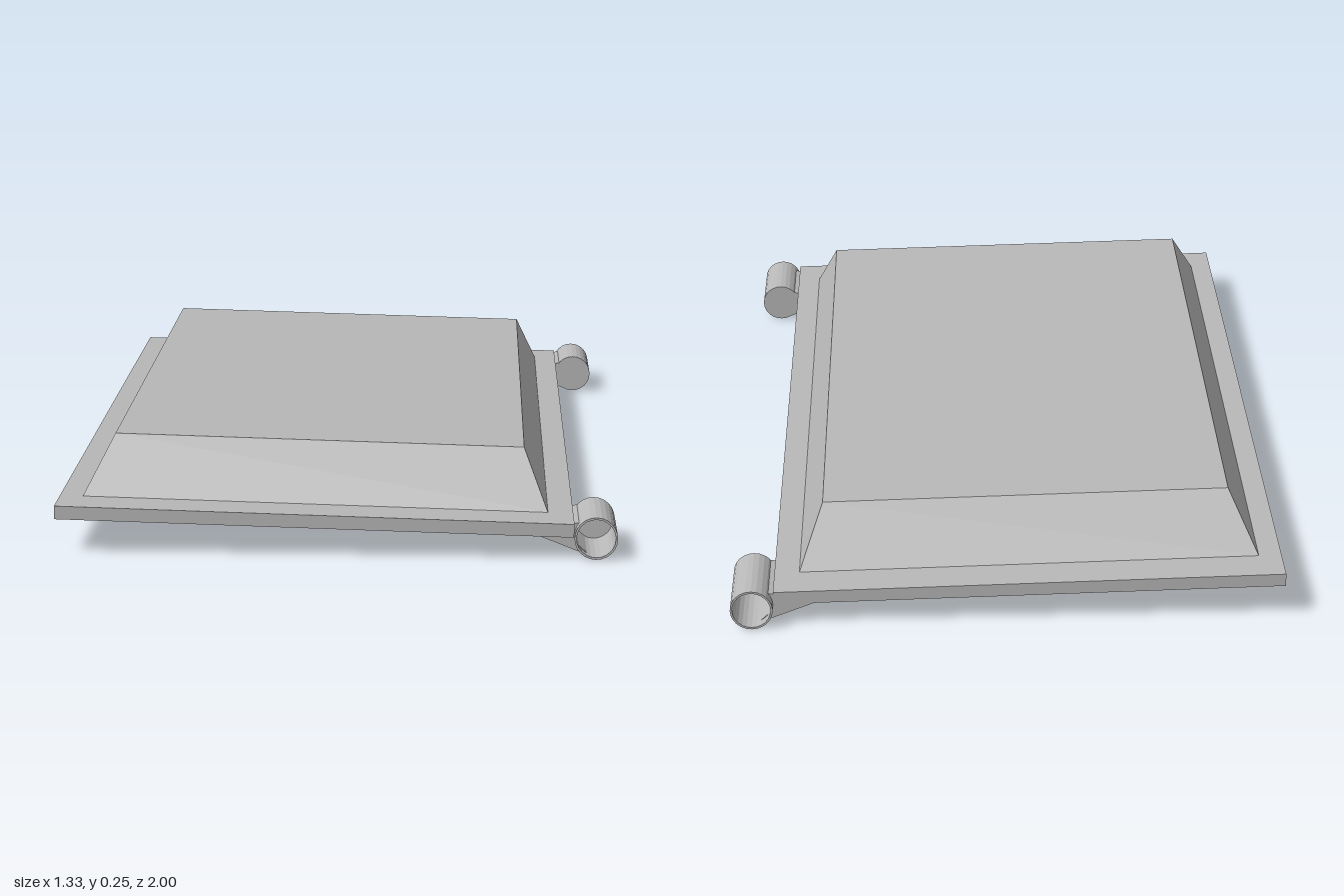
import * as THREE from 'three';

// Stack of rectangular rings [x0, x1, z0, z1, y], capped at both ends
function rectLoft(rings) {
  const corners = rings.map(([x0, x1, z0, z1, y]) => [[x0, y, z0], [x1, y, z0], [x1, y, z1], [x0, y, z1]]);
  const pos = [];
  const quad = (a, b, c, d) => pos.push(...a, ...b, ...c, ...a, ...c, ...d);
  quad(...corners[0]);
  for (let i = 0; i < corners.length - 1; i++) {
    for (let k = 0; k < 4; k++) {
      const n = (k + 1) % 4;
      quad(corners[i][k], corners[i + 1][k], corners[i + 1][n], corners[i][n]);
    }
  }
  quad(...[...corners[corners.length - 1]].reverse());
  const g = new THREE.BufferGeometry();
  g.setAttribute('position', new THREE.Float32BufferAttribute(pos, 3));
  g.computeVertexNormals();
  return g;
}

export function createModel() {
  const model = new THREE.Group();
  model.name = 'hatch';
  const metal = new THREE.MeshStandardMaterial({ color: 0xb8b8b8, flatShading: true, side: THREE.DoubleSide });
  metal.name = 'grey metal';

  const add = (parent, name, geometry, x = 0, y = 0, z = 0) => {
    const mesh = new THREE.Mesh(geometry, metal);
    mesh.name = name;
    mesh.position.set(x, y, z);
    parent.add(mesh);
    return mesh;
  };

  // Slightly tilted door panel
  const door = new THREE.Group();
  door.name = 'door';
  door.position.y = 0.072;
  door.rotation.z = -0.0245;
  model.add(door);

  // Plate with a groove underneath and a raised, sloping centre on top
  const inset = (d, y) => [-0.665 + d, 0.56 - d, -0.975 + d, 1 - d, y];
  add(door, 'panel', rectLoft([
    inset(0.08, 0), inset(0.08, 0.02), inset(0.055, 0.02), inset(0.055, 0),
    inset(0, 0), inset(0, 0.032), [-0.61, 0.5, -0.88, 0.9, 0.032],
    [-0.545, 0.44, -0.775, 0.8, 0.165],
  ]));

  // Round boss with a dished face on the underside
  const bossProfile = [[0, -0.026], [0.157, -0.026], [0.157, -0.02], [0.222, -0.02], [0.247, -0.04], [0.295, 0]]
    .map(([r, y]) => new THREE.Vector2(r, y));
  add(door, 'boss', new THREE.LatheGeometry(bossProfile, 32), -0.13, 0, 0.385);

  // Hinge sockets: open at the outer end, closed at the inner end
  for (const s of [1, -1]) {
    const hinge = new THREE.Group();
    hinge.name = s > 0 ? 'frontHinge' : 'backHinge';
    model.add(hinge);

    const barrelProfile = [[0, 0], [0.051, 0], [0.051, 0.19], [0.046, 0.19], [0.046, 0.02], [0, 0.02]]
      .map(([r, y]) => new THREE.Vector2(r, y));
    const barrel = add(hinge, 'barrel', new THREE.LatheGeometry(barrelProfile, 24), 0.612, 0.056, s * 0.81);
    barrel.rotation.x = s * Math.PI / 2;

    // Wedge joining the barrel to the plate
    const wedge = new THREE.Shape([[0.46, 0.062], [0.6, 0.007], [0.565, 0.04], [0.572, 0.088], [0.555, 0.085], [0.555, 0.06]]
      .map(([x, y]) => new THREE.Vector2(x, y)));
    const depth = 0.165;
    add(hinge, 'bracket', new THREE.ExtrudeGeometry(wedge, { depth, bevelEnabled: false }), 0, 0, s > 0 ? 0.81 : -0.81 - depth);
  }
  return model;
}
